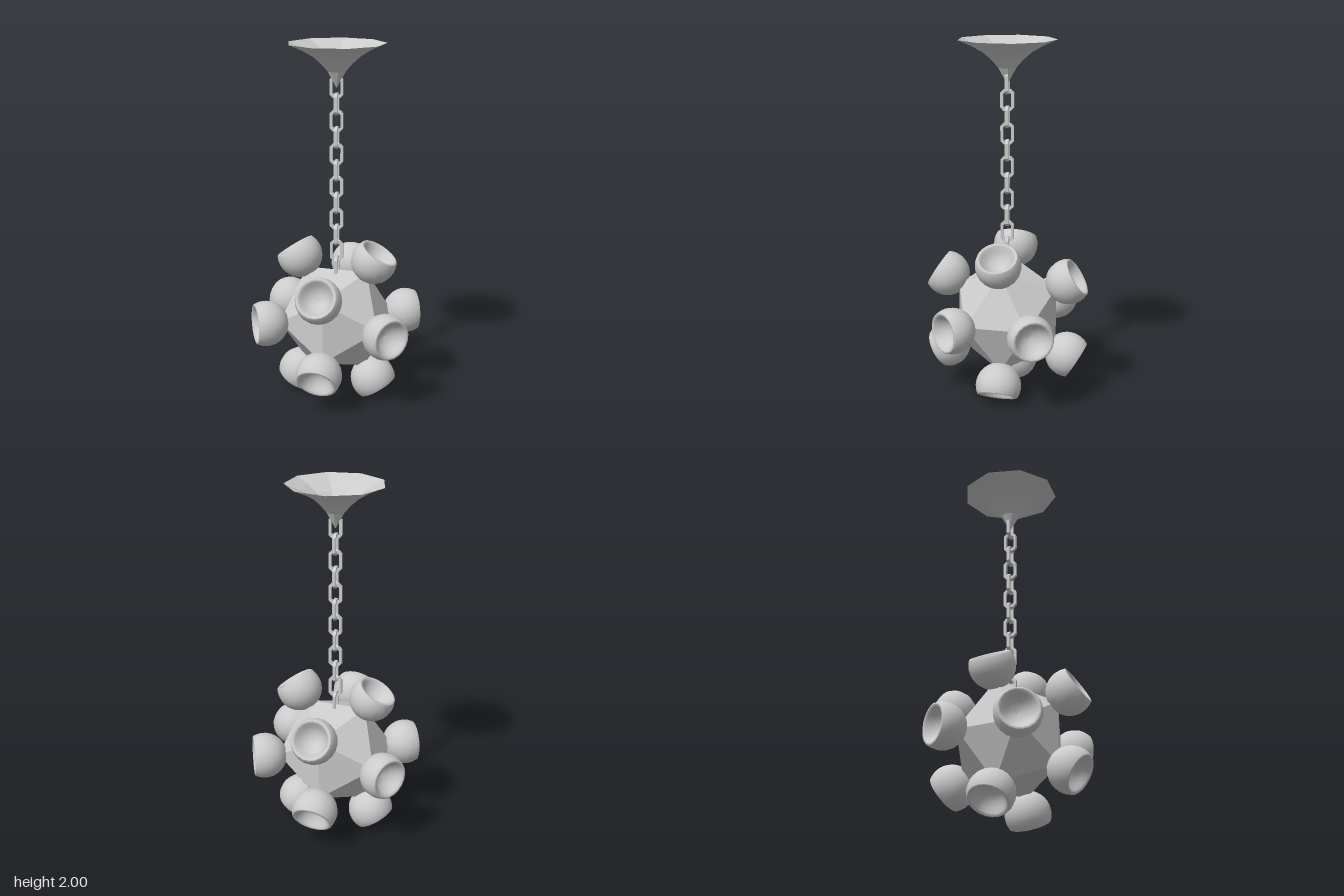
import * as THREE from 'three';
import { ConvexGeometry } from 'three/addons/geometries/ConvexGeometry.js';

const CORE_Y = 0.459;

export function createModel() {
  const model = new THREE.Group();
  const smooth = new THREE.MeshStandardMaterial({ color: 0xcccccc });
  const faceted = new THREE.MeshStandardMaterial({ color: 0xcccccc, flatShading: true });
  const open = new THREE.MeshStandardMaterial({ color: 0xcccccc, flatShading: true, side: THREE.DoubleSide });

  function add(parent, name, geometry, material) {
    const mesh = new THREE.Mesh(geometry, material);
    mesh.name = name;
    parent.add(mesh);
    return mesh;
  }
  const profile = (pairs) => pairs.map(([r, y]) => new THREE.Vector2(r, y));

  // Ceiling canopy: an open nine-sided flared horn
  add(model, 'canopy', new THREE.LatheGeometry(profile([
    [0.003, 1.765], [0.028, 1.81], [0.05, 1.85], [0.085, 1.89], [0.13, 1.93], [0.19, 1.965], [0.27, 2],
  ]), 9, Math.PI / 2), open);

  // Chain of flat links with cut corners, alternating by a quarter turn
  const w = 0.037, h = 0.058, t = 0.015;
  const outline = (a, b, c) => [
    [a, b - c], [a - c, b], [c - a, b], [-a, b - c],
    [-a, c - b], [c - a, -b], [a - c, -b], [a, c - b],
  ].map(([x, y]) => new THREE.Vector2(x, y));
  const linkShape = new THREE.Shape(outline(w, h, 0.017));
  linkShape.holes.push(new THREE.Path(outline(w - t, h - t, 0.01).reverse()));
  const linkGeometry = new THREE.ExtrudeGeometry(linkShape, { depth: 0.018, bevelEnabled: false });
  linkGeometry.translate(0, 0, -0.009);
  const chain = new THREE.Group();
  chain.name = 'chain';
  for (let i = 0; i < 12; i++) {
    const link = add(chain, 'chainLink', linkGeometry, faceted);
    link.position.y = 1.767 - i * 0.0915;
    link.rotation.y = THREE.MathUtils.degToRad(i % 2 ? 37 : 127);
  }
  model.add(chain);

  // Twelve directions: one along the front axis, five around it, and their opposites
  const directions = [new THREE.Vector3(0, 0, 1)];
  for (let k = 0; k < 5; k++) {
    const a = (k * 2 * Math.PI) / 5;
    directions.push(new THREE.Vector3(Math.cos(a) * 0.8944, Math.sin(a) * 0.8944, 0.4472));
  }
  for (const d of directions.slice()) directions.push(d.clone().negate());

  // Faceted core with a corner under each lamp cup
  const core = add(model, 'core', new ConvexGeometry(directions.map((d) => d.clone().multiplyScalar(0.33))), faceted);
  core.position.y = CORE_Y;

  // Lamp cup: a cut ball with a rounded lip and a hollow bowl, standing on its pivot
  const cupPoints = [];
  for (let i = 0; i <= 10; i++) {
    const a = (i / 10) * THREE.MathUtils.degToRad(117);
    cupPoints.push([0.127 * Math.sin(a), 0.11 - 0.127 * Math.cos(a)]);
  }
  cupPoints.push([0.108, 0.17], [0.1, 0.17], [0.092, 0.161], [0.078, 0.137], [0.058, 0.114], [0.03, 0.098], [0, 0.093]);
  const cupGeometry = new THREE.LatheGeometry(profile(cupPoints), 20);

  const up = new THREE.Vector3(0, 1, 0);
  directions.forEach((d, i) => {
    const cup = add(model, 'lampCup', cupGeometry, smooth);
    cup.position.copy(d).multiplyScalar(0.3).add(new THREE.Vector3(0, CORE_Y, 0));
    const aim = d.clone();
    // The front cup and its neighbour are turned slightly on their pivots
    if (i === 0) aim.applyAxisAngle(up, -0.14);
    if (i === 1) aim.applyAxisAngle(up, -0.07);
    cup.quaternion.setFromUnitVectors(up, aim);
  });

  return model;
}
